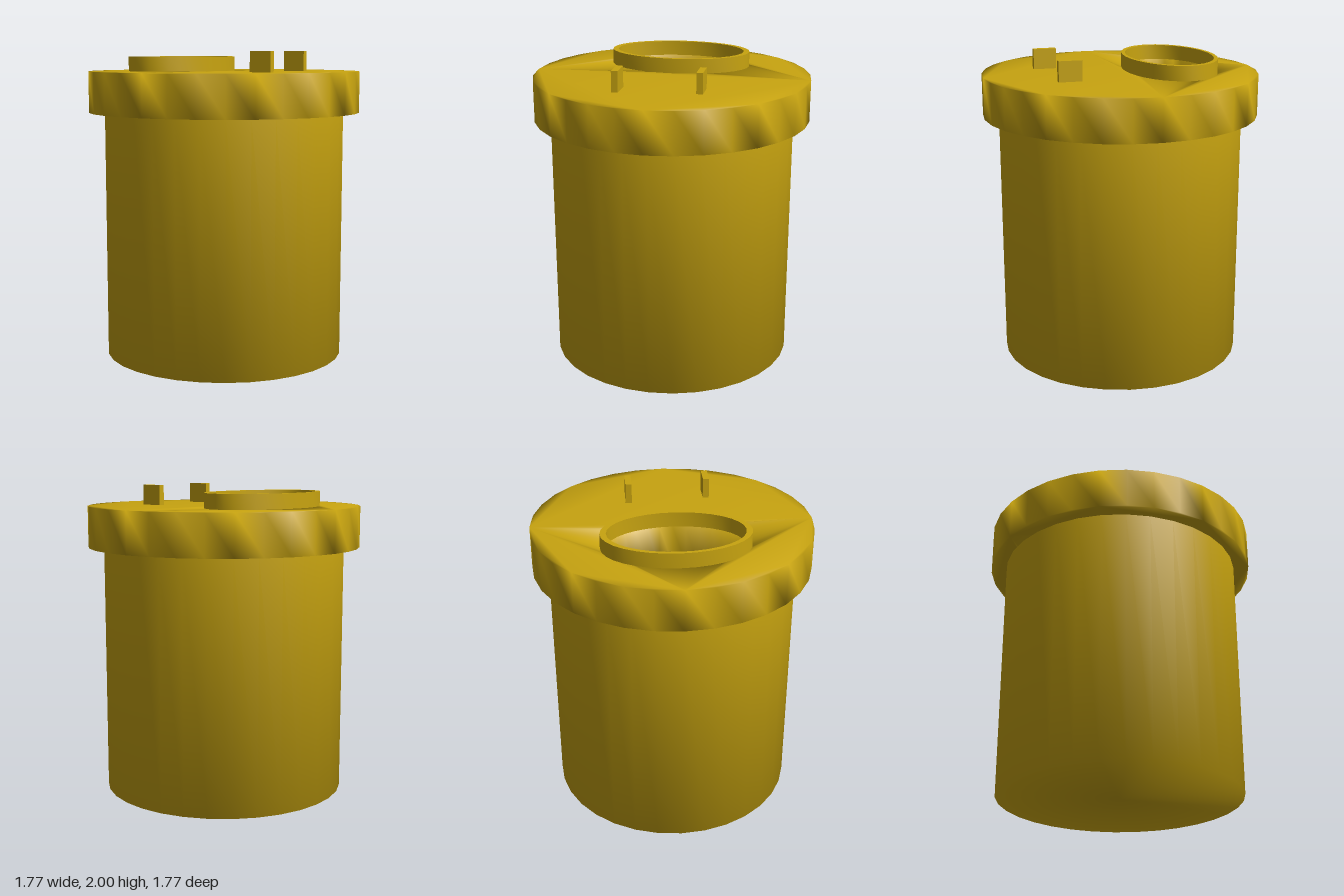
import * as THREE from 'three';
import { mergeVertices, toCreasedNormals } from 'three/addons/utils/BufferGeometryUtils.js';

const SIDES = 32;

// Closed outline of an ellipse with one vertex on each axis
function ellipse(cx, rx, ry) {
  const pts = [];
  for (let i = 0; i < SIDES; i++) {
    const a = (i / SIDES) * Math.PI * 2;
    pts.push(new THREE.Vector2(cx + rx * Math.cos(a), ry * Math.sin(a)));
  }
  return pts;
}

// Flat plate with an opening, standing from y0 to y1
function plate(outer, inner, y0, y1) {
  const shape = new THREE.Shape(outer);
  shape.holes.push(new THREE.Path(inner));
  const geo = new THREE.ExtrudeGeometry(shape, { depth: y1 - y0, bevelEnabled: false });
  geo.rotateX(-Math.PI / 2);
  geo.translate(0, y0, 0);
  return geo;
}

// Shared vertices, so shading rolls softly over the edges
function soften(geo) {
  geo.deleteAttribute('normal');
  geo.deleteAttribute('uv');
  const merged = mergeVertices(geo, 1e-4);
  merged.computeVertexNormals();
  return merged;
}

export function createModel() {
  const group = new THREE.Group();
  const mustard = new THREE.MeshStandardMaterial({ color: 0xc8a410 });
  mustard.name = 'mustard';

  const add = (name, geo) => {
    const mesh = new THREE.Mesh(geo, mustard);
    mesh.name = name;
    group.add(mesh);
    return mesh;
  };

  // Hollow cylindrical container: outside, rim, inside wall and floor
  const profile = [[0, 0], [0.785, 0], [0.785, 1.61], [0.73, 1.61], [0.73, 0.06], [0, 0.06]];
  add('body', new THREE.LatheGeometry(profile.map(([x, y]) => new THREE.Vector2(x, y)), SIDES));

  // Lid with an oval opening
  const opening = ellipse(-0.33, 0.27, 0.42);
  add('lid', soften(plate(ellipse(0, 0.887, 0.887), opening, 1.605, 1.87)));

  // Raised collar around the opening
  add('openingCollar', toCreasedNormals(plate(ellipse(-0.33, 0.293, 0.458), opening, 1.87, 1.965), 0.7));

  // Two upright tabs on the lid
  for (const [name, x, z] of [['backTab', 0.393, -0.255], ['frontTab', 0.442, 0.253]]) {
    add(name, new THREE.BoxGeometry(0.148, 0.14, 0.04)).position.set(x, 1.93, z);
  }

  return group;
}
